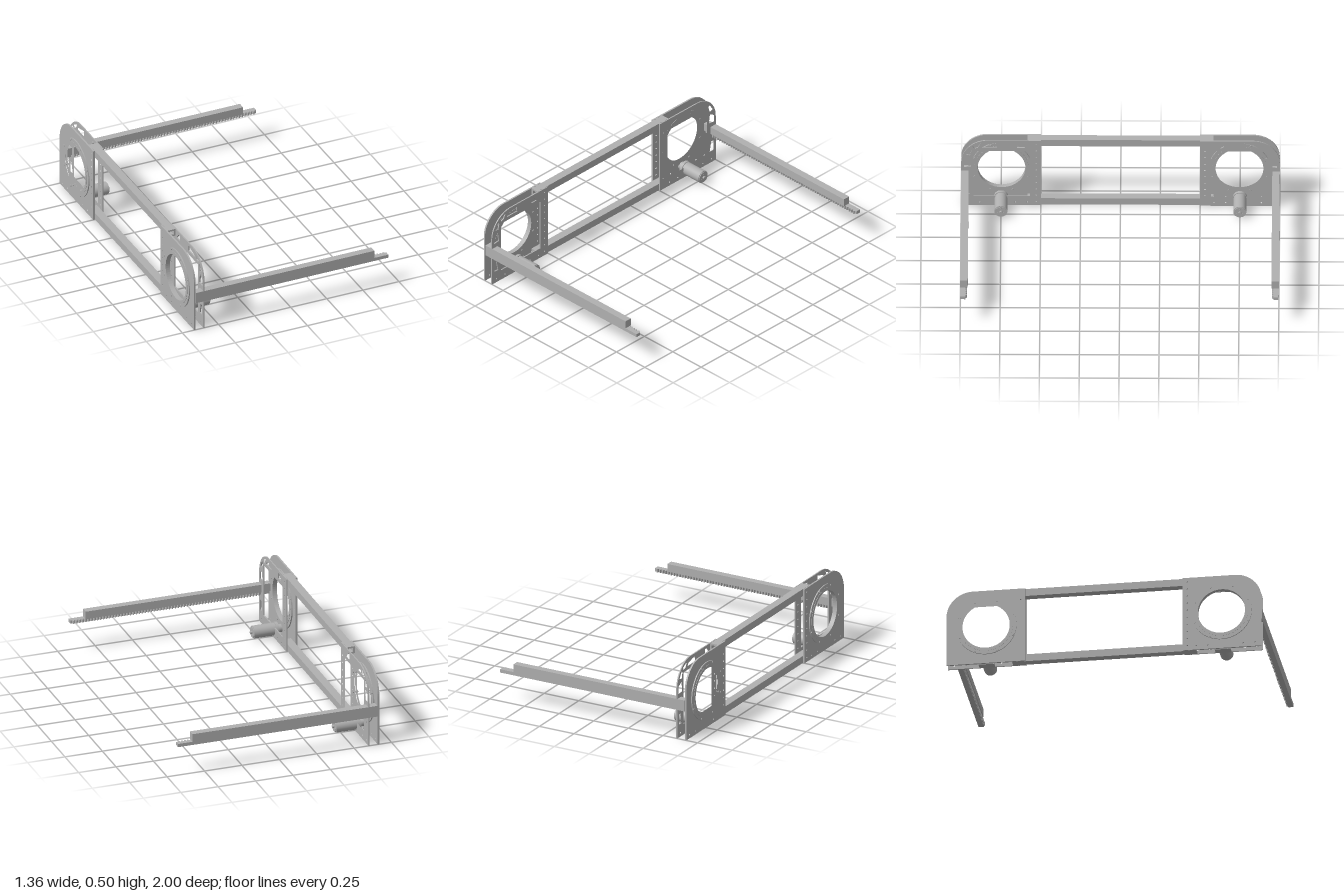
import * as THREE from 'three';

const metal = new THREE.MeshStandardMaterial({ color: 0xb0b0b0 });
metal.name = 'plain grey metal';

const HUB = [0.747, 0.252]; // z, y centre of the wheel opening
const MOTOR = [0.75, 0.049];

function circle(cz, cy, r, n = 16) {
  return Array.from({ length: n }, (_, i) => {
    const a = (i / n) * Math.PI * 2;
    return [cz + r * Math.cos(a), cy + r * Math.sin(a)];
  });
}
const rect = (a0, b0, a1, b1) => [[a0, b0], [a1, b0], [a1, b1], [a0, b1]];

function outline(points, holes, s) {
  const v = (p) => p.map(([a, b]) => new THREE.Vector2(a * s, b));
  const shape = new THREE.Shape(v(points));
  shape.holes = holes.map((h) => new THREE.Path(v(h)));
  return shape;
}

function addMesh(group, name, geometry) {
  const mesh = new THREE.Mesh(geometry, metal);
  mesh.name = name;
  group.add(mesh);
  return mesh;
}

// Sheet drawn in (z, y) and extruded from x0 to x1; s mirrors it in z
function sheet(group, name, points, holes, x0, x1, s) {
  const g = new THREE.ExtrudeGeometry(outline(points, holes, s), { depth: x1 - x0, bevelEnabled: false });
  g.rotateY(-Math.PI / 2).translate(x1, 0, 0);
  return addMesh(group, name, g);
}

function box(group, name, x0, x1, y0, y1, z0, z1, s) {
  const g = new THREE.BoxGeometry(x1 - x0, y1 - y0, z1 - z0);
  g.translate((x0 + x1) / 2, (y0 + y1) / 2, (s * (z0 + z1)) / 2);
  return addMesh(group, name, g);
}

// Cylinder along x
function rod(group, name, x0, x1, r, z, y, s, n = 32) {
  const g = new THREE.CylinderGeometry(r, r, x1 - x0, n);
  g.rotateZ(Math.PI / 2).translate((x0 + x1) / 2, y, z * s);
  return addMesh(group, name, g);
}

// Side plate outline with one rounded upper corner
function plateOutline() {
  const p = [[0.5, 0], [1, 0]];
  const r = 0.168;
  for (let i = 0; i <= 16; i++) {
    const a = (i / 16) * Math.PI / 2;
    p.push([1 - r + r * Math.cos(a), 0.5 - r + r * Math.sin(a)]);
  }
  p.push([0.5, 0.5]);
  return p;
}

function buildSide(s) {
  const side = new THREE.Group();
  side.name = s > 0 ? 'frontSide' : 'backSide';

  // Bolt holes shared by both plates
  const bolts = [];
  for (let i = 0; i < 10; i++) bolts.push(circle(0.53, 0.03 + i * 0.049, 0.005, 8));
  for (let i = 0; i < 6; i++) {
    const z = 0.585 + i * 0.075;
    if (Math.abs(z - MOTOR[0]) > 0.06) bolts.push(circle(z, 0.025, 0.005, 8));
  }

  sheet(side, 'outerPlate', plateOutline(), [circle(...HUB, 0.17, 64), ...bolts], -0.669, -0.658, s);

  // Inner plate with square opening and lightening pockets
  const pockets = [
    [[0.775, 0.445], [0.87, 0.445], [0.86, 0.462], [0.78, 0.482]],
    [[0.6, 0.445], [0.65, 0.445], [0.65, 0.482], [0.63, 0.482]],
    [[0.895, 0.445], [0.918, 0.436], [0.928, 0.452], [0.88, 0.476]],
    [[0.935, 0.425], [0.945, 0.385], [0.972, 0.392], [0.945, 0.435]],
    [[0.938, 0.3], [0.984, 0.295], [0.982, 0.345], [0.948, 0.365]],
    [[0.945, 0.085], [0.978, 0.085], [0.978, 0.155], [0.96, 0.155]],
  ];
  sheet(side, 'innerPlate', plateOutline(),
    [rect(0.567, 0.07, 0.922, 0.42), ...pockets, ...bolts], -0.604, -0.596, s);

  // Wheel bearing: two flanges around a core, with bolt heads
  sheet(side, 'bearingCore', circle(...HUB, 0.17, 64), [circle(...HUB, 0.15, 64)], -0.678, -0.648, s);
  const ringBolts = [];
  for (let i = 0; i < 8; i++) {
    const a = ((i + 0.5) / 8) * Math.PI * 2;
    ringBolts.push([HUB[0] + 0.183 * Math.cos(a), HUB[1] + 0.183 * Math.sin(a)]);
  }
  for (const [name, x0, x1] of [['outerFlange', -0.676, -0.669], ['innerFlange', -0.658, -0.65]]) {
    sheet(side, name, circle(...HUB, 0.192, 64), [circle(...HUB, 0.16, 64)], x0, x1, s);
  }
  for (const [z, y] of ringBolts) rod(side, 'bearingBolt', -0.68, -0.646, 0.007, z, y, s, 10);

  // Drive motor with gearbox, mount and shaft
  rod(side, 'motorBody', -0.606, -0.462, 0.041, ...MOTOR, s);
  rod(side, 'motorCap', -0.462, -0.457, 0.036, ...MOTOR, s);
  rod(side, 'motorShaft', -0.457, -0.445, 0.009, ...MOTOR, s, 16);
  rod(side, 'motorCollar', -0.625, -0.606, 0.045, ...MOTOR, s);
  rod(side, 'pinion', -0.658, -0.625, 0.026, ...MOTOR, s, 20);
  box(side, 'motorFoot', -0.65, -0.6, 0, 0.006, 0.7, 0.8, s);
  for (let i = 0; i < 3; i++) {
    const a = Math.PI / 2 + (i * Math.PI * 2) / 3;
    rod(side, 'motorScrew', -0.458, -0.455, 0.006,
      MOTOR[0] + 0.022 * Math.cos(a), MOTOR[1] + 0.022 * Math.sin(a), s, 10);
  }

  // Long arm with a toothed rail below it
  box(side, 'arm', -0.655, 0.58, 0.215, 0.267, 0.953, 1, s);
  const rack = [[-0.655, 1], [-0.655, 0.967]];
  const pitch = 0.02;
  for (let x = -0.59; x < 0.66; x += pitch) {
    rack.push([x, 0.967], [x + pitch * 0.25, 0.957], [x + pitch * 0.5, 0.957], [x + pitch * 0.75, 0.967]);
  }
  rack.push([0.677, 0.967], [0.677, 1]);
  const rackShape = new THREE.Shape(rack.map(([x, z]) => new THREE.Vector2(x, z * s)));
  const rackGeo = new THREE.ExtrudeGeometry(rackShape, { depth: 0.022, bevelEnabled: false });
  rackGeo.rotateX(Math.PI / 2).translate(0, 0.215, 0);
  addMesh(side, 'rack', rackGeo);
  return side;
}

export function createModel() {
  const model = new THREE.Group();
  model.name = 'frame';
  for (const s of [1, -1]) model.add(buildSide(s));

  // Hollow cross tubes joining the two sides
  for (const y of [0.0, 0.452]) {
    const shape = outline(rect(-0.657, y, -0.605, y + 0.048), [rect(-0.645, y + 0.012, -0.616, y + 0.037)], 1);
    const g = new THREE.ExtrudeGeometry(shape, { depth: 1.17, bevelEnabled: false });
    g.translate(0, 0, -0.585);
    addMesh(model, y ? 'upperCrossTube' : 'lowerCrossTube', g);
  }
  return model;
}
